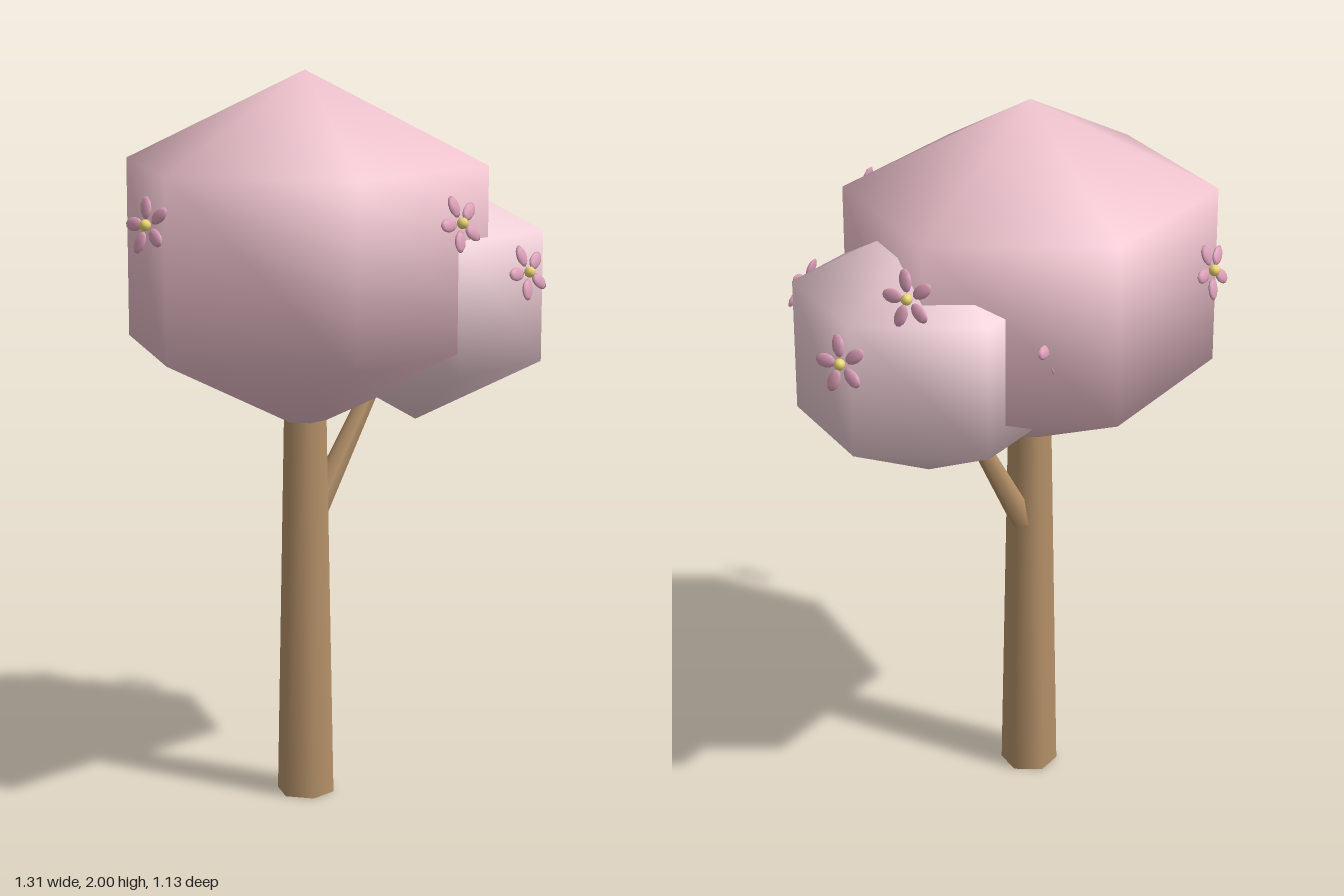
import * as THREE from 'three';

const mat = (color) => new THREE.MeshStandardMaterial({ color });
const barkMat = mat(0xb8936a);
const petalMat = mat(0xdda0b9);
const centreMat = mat(0xecd873);

function add(parent, name, geometry, material, x = 0, y = 0, z = 0) {
  const mesh = new THREE.Mesh(geometry, material);
  mesh.name = name;
  mesh.position.set(x, y, z);
  parent.add(mesh);
  return mesh;
}

// Tapered six-sided limb between two points
function limb(parent, name, from, to, r0, r1) {
  const a = new THREE.Vector3(...from), b = new THREE.Vector3(...to);
  const dir = b.clone().sub(a);
  const geo = new THREE.CylinderGeometry(r1, r0, dir.length(), 6);
  geo.rotateY(Math.PI / 6);
  const mesh = add(parent, name, geo, barkMat);
  mesh.position.copy(a).add(b).multiplyScalar(0.5);
  mesh.quaternion.setFromUnitVectors(new THREE.Vector3(0, 1, 0), dir.normalize());
}

// Five flat petals around a small yellow heart, facing +z
function flower() {
  const group = new THREE.Group();
  group.name = 'flower';
  for (let i = 0; i < 5; i++) {
    const geo = new THREE.SphereGeometry(1, 8, 6);
    geo.scale(0.03, 0.018, 0.008);
    geo.translate(0.047, 0, 0);
    const petal = add(group, 'petal', geo, petalMat);
    petal.rotation.z = Math.PI + (i * Math.PI * 2) / 5;
  }
  add(group, 'flowerCentre', new THREE.SphereGeometry(0.015, 8, 6), centreMat, 0, 0, 0.006);
  return group;
}

export function createModel() {
  const tree = new THREE.Group();
  tree.name = 'blossomTree';

  // Trunk and side branch
  limb(tree, 'trunk', [-0.06, 0, 0], [-0.06, 1.2, 0], 0.08, 0.057);
  limb(tree, 'branch', [-0.045, 0.765, 0], [0.2, 1.2, 0.055], 0.037, 0.02);

  // Two coarse, smooth-shaded crowns, each with a ring of flowers
  const crowns = [
    { name: 'mainCrown', color: 0xf3c6d1, pos: [-0.06, 1.515, 0], size: [0.59, 0.485, 0.563],
      flowerY: 1.64, reach: [0.572, 0.545] },
    { name: 'sideCrown', color: 0xf4d3db, pos: [0.25, 1.388, 0.125], size: [0.393, 0.357, 0.404],
      flowerY: 1.48, reach: [0.38, 0.39] },
  ];
  for (const c of crowns) {
    const crown = add(tree, c.name, new THREE.SphereGeometry(1, 6, 3), mat(c.color), ...c.pos);
    crown.scale.set(...c.size);
    for (let i = 0; i < 4; i++) {
      const angle = (i * Math.PI) / 2;
      const f = flower();
      f.position.set(c.pos[0] + Math.sin(angle) * c.reach[0], c.flowerY,
        c.pos[2] + Math.cos(angle) * c.reach[1]);
      f.rotation.set(-0.25, angle, 0, 'YXZ');
      tree.add(f);
    }
  }
  return tree;
}
